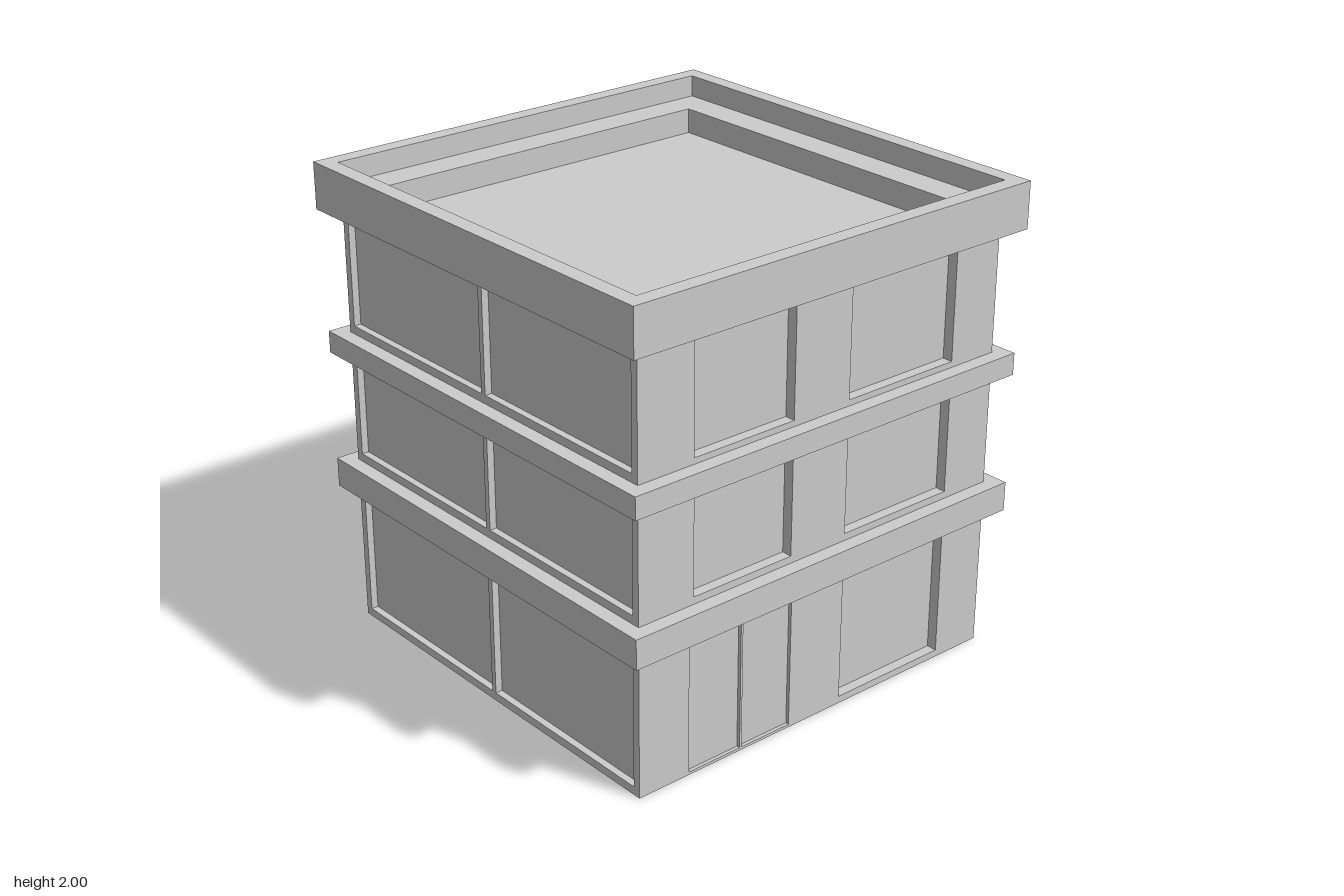
import * as THREE from 'three';

const mat = new THREE.MeshStandardMaterial({ color: 0xcccccc, flatShading: true });
const HALF = 0.9, WALL_TOP = 1.805;
const THIN = 0.03, DEEP = 0.045, DOOR_DEPTH = 0.015;

function add(parent, name, geometry, x = 0, y = 0, z = 0) {
  const mesh = new THREE.Mesh(geometry, mat);
  mesh.name = name;
  mesh.position.set(x, y, z);
  parent.add(mesh);
  return mesh;
}

// rectangle outline from [x0, x1, y0, y1]
function rect([x0, x1, y0, y1], Type = THREE.Path) {
  const p = new Type();
  p.moveTo(x0, y0).lineTo(x1, y0).lineTo(x1, y1).lineTo(x0, y1).closePath();
  return p;
}

// facade slab with cut-out openings, facing +z before it is turned
function facade(name, angle, halfWidth, depth, openings) {
  const shape = rect([-halfWidth, halfWidth, 0, WALL_TOP], THREE.Shape);
  shape.holes = openings.map((o) => rect(o));
  const group = new THREE.Group();
  group.name = name;
  group.rotation.y = angle;
  const slab = new THREE.ExtrudeGeometry(shape, { depth, bevelEnabled: false });
  add(group, name + 'Frame', slab, 0, 0, HALF - depth);
  return group;
}

// square ring lying flat between two heights
function ring(parent, name, outer, inner, y0, y1) {
  const shape = rect([-outer, outer, -outer, outer], THREE.Shape);
  shape.holes.push(rect([-inner, inner, -inner, inner]));
  const geo = new THREE.ExtrudeGeometry(shape, { depth: y1 - y0, bevelEnabled: false });
  geo.rotateX(-Math.PI / 2);
  add(parent, name, geo, 0, y0, 0);
}

export function createModel() {
  const model = new THREE.Group();
  model.name = 'building';

  // solid core: its sides are the window panes, its top the roof floor
  const x0 = -HALF + THIN, x1 = HALF - DEEP, zSpan = 2 * (HALF - THIN);
  add(model, 'core', new THREE.BoxGeometry(x1 - x0, WALL_TOP, zSpan), (x0 + x1) / 2, WALL_TOP / 2, 0);

  // three glazed facades: two wide windows on each floor
  const wide = [];
  for (const [y0, y1] of [[0.035, 0.567], [0.76, 1.16], [1.325, 1.77]]) {
    wide.push([-0.867, -0.012, y0, y1], [0.012, 0.867, y0, y1]);
  }
  model.add(
    facade('frontFacade', 0, HALF, THIN, wide),
    facade('backFacade', Math.PI, HALF, THIN, wide),
    facade('rightFacade', -Math.PI / 2, HALF - THIN, THIN, wide),
  );

  // entrance facade: smaller windows and a double door
  const windows = [[0.12, 0.67, 0.03, 0.58]];
  for (const [y0, y1] of [[0.755, 1.17], [1.315, 1.78]]) {
    windows.push([-0.64, -0.16, y0, y1], [0.12, 0.67, y0, y1]);
  }
  const doors = [[-0.66, -0.405, 0.012, 0.595], [-0.395, -0.15, 0.012, 0.595]];
  const entrance = facade('entranceFacade', Math.PI / 2, HALF - THIN, DEEP, [...windows, ...doors]);
  const doorThick = DEEP - DOOR_DEPTH;
  for (const [a, b, y0, y1] of doors) {
    add(entrance, 'doorLeaf', new THREE.BoxGeometry(b - a, y1 - y0, doorThick),
      (a + b) / 2, (y0 + y1) / 2, HALF - DEEP + doorThick / 2);
  }
  model.add(entrance);

  // projecting bands between floors
  for (const [y0, y1] of [[0.6, 0.725], [1.197, 1.29]]) {
    ring(model, 'floorBand', 0.962, 0.88, y0, y1);
  }

  // roof: tall outer parapet and a lower inner ledge
  ring(model, 'parapet', 0.974, 0.905, WALL_TOP, 2);
  ring(model, 'roofLedge', 0.905, 0.77, WALL_TOP, 1.91);

  return model;
}
